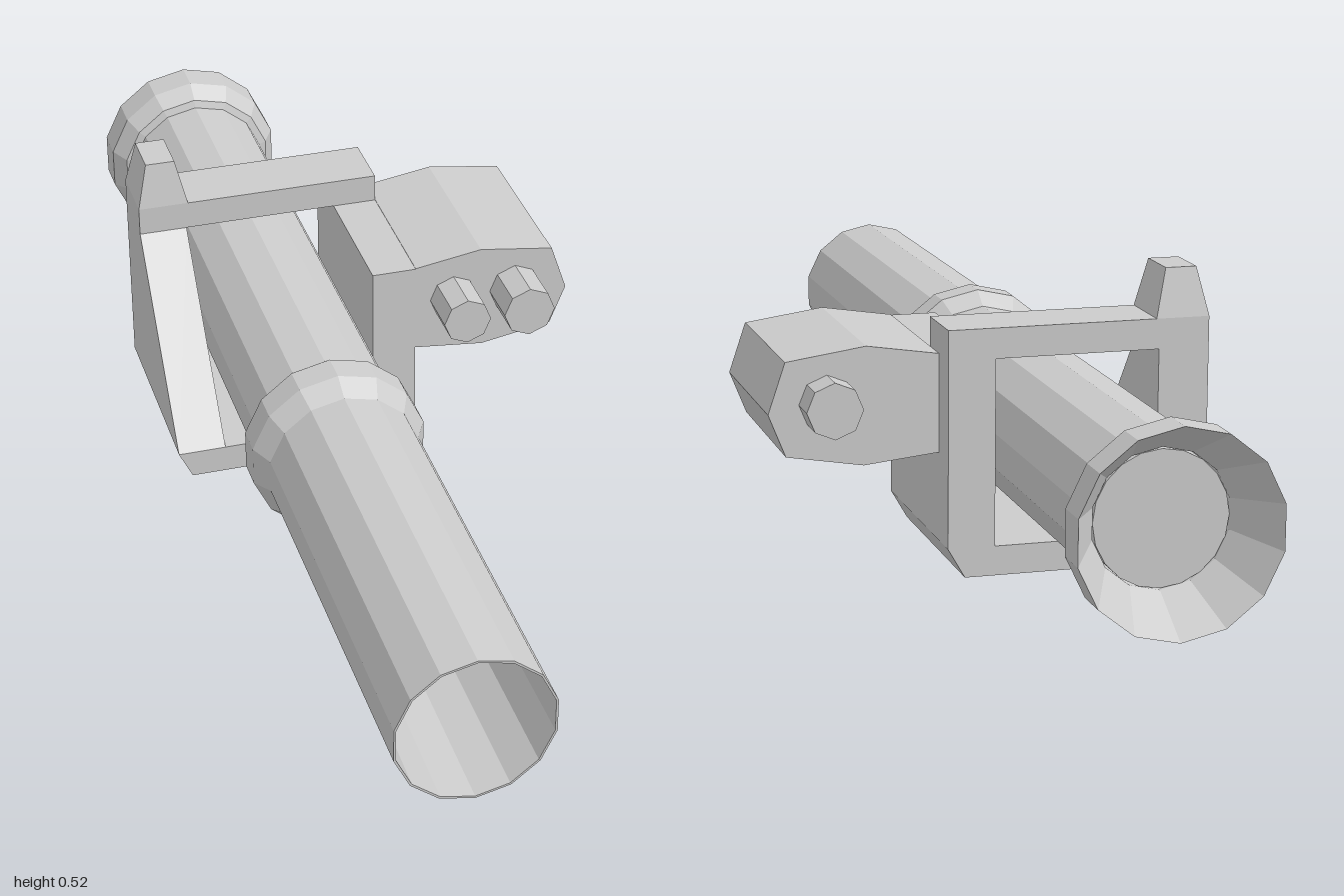
import * as THREE from 'three';

const AXIS_X = -0.148, AXIS_Y = 0.206;

export function createModel() {
  const model = new THREE.Group();
  model.name = 'shoulderLauncher';
  const material = new THREE.MeshStandardMaterial({ color: 0xcccccc, flatShading: true, side: THREE.DoubleSide });

  const add = (name, geometry, x = 0, y = 0, z = 0) => {
    const mesh = new THREE.Mesh(geometry, material);
    mesh.name = name;
    mesh.position.set(x, y, z);
    model.add(mesh);
    return mesh;
  };

  // Box given by its minimum and maximum corners
  const box = (name, [x0, y0, z0], [x1, y1, z1]) =>
    add(name, new THREE.BoxGeometry(x1 - x0, y1 - y0, z1 - z0), (x0 + x1) / 2, (y0 + y1) / 2, (z0 + z1) / 2);

  // Outline in x, y pushed from z0 to z1
  const prism = (points, z0, z1) => {
    const shape = new THREE.Shape(points.map(p => new THREE.Vector2(...p)));
    return new THREE.ExtrudeGeometry(shape, { depth: z1 - z0, bevelEnabled: false }).translate(0, 0, z0);
  };

  // Profile of [radius, z] turned around the barrel axis
  const turned = (name, profile, sides) => {
    const geometry = new THREE.LatheGeometry(profile.map(p => new THREE.Vector2(...p)), sides);
    geometry.rotateX(Math.PI / 2);
    return add(name, geometry, AXIS_X, AXIS_Y, 0);
  };

  // Open barrel with a flared rear nozzle and a raised collar
  turned('barrel', [
    [0.117, -0.9], [0.174, -1], [0.174, -0.935], [0.152, -0.9], [0.137, -0.895],
    [0.137, 0.11], [0.162, 0.145], [0.162, 0.2], [0.14, 0.24], [0.139, 1],
    [0.135, 1], [0.117, -0.9],
  ], 14);

  // Pointed round resting inside the barrel
  turned('round', [[0, -0.9], [0.114, -0.9], [0.114, -0.1], [0.028, 0.35], [0, 0.35]], 20);

  // Cradle: chamfered floor, solid post, sloping arm and cross bar
  add('cradleFloor', prism([[-0.355, 0], [0.053, 0], [0.083, 0.052], [-0.38, 0.052]], -0.48, -0.09));
  box('cradlePost', [0, 0.052, -0.48], [0.083, 0.38, -0.09]);
  const arm = prism([[0.09, 0.052], [0.48, 0.052], [0.48, 0.38], [0.36, 0.38]], 0, 0.09);
  arm.rotateY(Math.PI / 2);
  add('cradleArm', arm, -0.38, 0, 0);
  box('crossBar', [-0.38, 0.38, -0.48], [0.083, 0.433, -0.36]);

  // Tapered sight block
  const sight = new THREE.BoxGeometry(0.095, 0.085, 0.12);
  const p = sight.attributes.position;
  for (let i = 0; i < p.count; i++) {
    if (p.getY(i) > 0) p.setXYZ(i, p.getX(i) * 0.58, p.getY(i), p.getZ(i) * 0.75);
  }
  add('sightBlock', sight, -0.3325, 0.4755, -0.42);

  // Side optics housing with its lenses and eyepiece
  add('opticsHousing', prism([
    [0.083, 0.208], [0.215, 0.194], [0.35, 0.217], [0.38, 0.292],
    [0.35, 0.381], [0.21, 0.401], [0.083, 0.381],
  ], -0.42, -0.09));
  const knob = (name, x, radius, z0, z1) => {
    const geometry = new THREE.CylinderGeometry(radius, radius, z1 - z0, 8);
    geometry.rotateY(Math.PI / 8).rotateX(Math.PI / 2).rotateZ(0.39);
    add(name, geometry, x, 0.306, (z0 + z1) / 2);
  };
  knob('innerLens', 0.157, 0.045, -0.1, 0);
  knob('outerLens', 0.278, 0.049, -0.1, 0);
  knob('eyepiece', 0.278, 0.049, -0.48, -0.41);

  return model;
}
